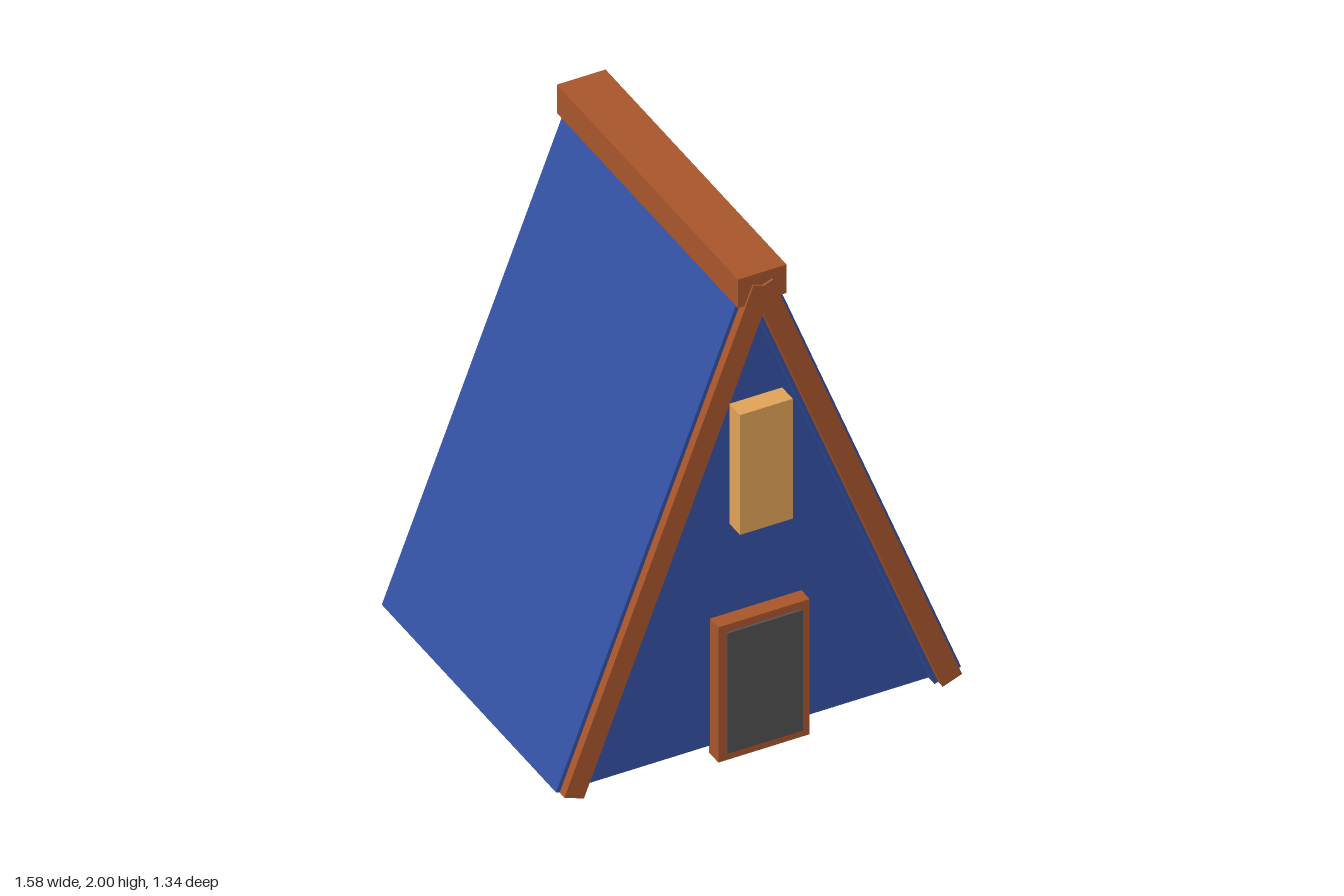
import * as THREE from 'three';

const mat = (color) => new THREE.MeshStandardMaterial({ color, flatShading: true });
const SLOPE = 2.589; // rise over run of the roof pitch

// Prism from an outline in x/y, spanning z0 to z1
function prism(name, points, z0, z1, material) {
  const shape = new THREE.Shape(points.map(([x, y]) => new THREE.Vector2(x, y)));
  const geo = new THREE.ExtrudeGeometry(shape, { depth: z1 - z0, bevelEnabled: false });
  geo.translate(0, 0, z0);
  const mesh = new THREE.Mesh(geo, material);
  mesh.name = name;
  return mesh;
}

// Box given by its limits on each axis
function box(name, [x0, x1], [y0, y1], [z0, z1], material) {
  const mesh = new THREE.Mesh(new THREE.BoxGeometry(x1 - x0, y1 - y0, z1 - z0), material);
  mesh.position.set((x0 + x1) / 2, (y0 + y1) / 2, (z0 + z1) / 2);
  mesh.name = name;
  return mesh;
}

// Inverted V of two sloping boards with square-cut ends and a notch at the peak
function chevron([ox, oy], [ix, iy], peakX) {
  const apex = oy + ox * SLOPE;
  const peakY = apex - peakX * SLOPE;
  const notchY = peakY - peakX / SLOPE;
  const innerApex = iy + ix * SLOPE;
  return [
    [ox, oy], [peakX, peakY], [0, notchY], [-peakX, peakY], [-ox, oy],
    [-ix, iy], [0, innerApex], [ix, iy],
  ];
}

export function createModel() {
  const house = new THREE.Group();
  house.name = 'aFrameCabin';
  const blue = mat(0x3350a2);
  const wood = mat(0xa8552a);
  const amber = mat(0xe0a258);
  const dark = mat(0x505050);

  // Walls and roof
  house.add(prism('body', [[-0.677, 0.035], [0.677, 0.035], [0, 1.9]], -0.63, 0.595, blue));
  house.add(prism('roof', chevron([0.79, 0.055], [0.687, 0.015], 0.05), -0.65, 0.615, blue));

  // Front gable boards and ridge cap
  house.add(prism('gableTrim', chevron([0.776, 0.05], [0.7, 0.021], 0.038), 0.615, 0.65, wood));
  house.add(box('ridgeCap', [-0.095, 0.095], [1.88, 2], [-0.672, 0.642], wood));

  // Door and window
  house.add(box('doorFrame', [-0.178, 0.178], [0, 0.57], [0.585, 0.655], wood));
  house.add(box('door', [-0.147, 0.147], [0.033, 0.54], [0.6, 0.665], dark));
  house.add(box('window', [-0.103, 0.103], [0.945, 1.45], [0.585, 0.672], amber));

  return house;
}
